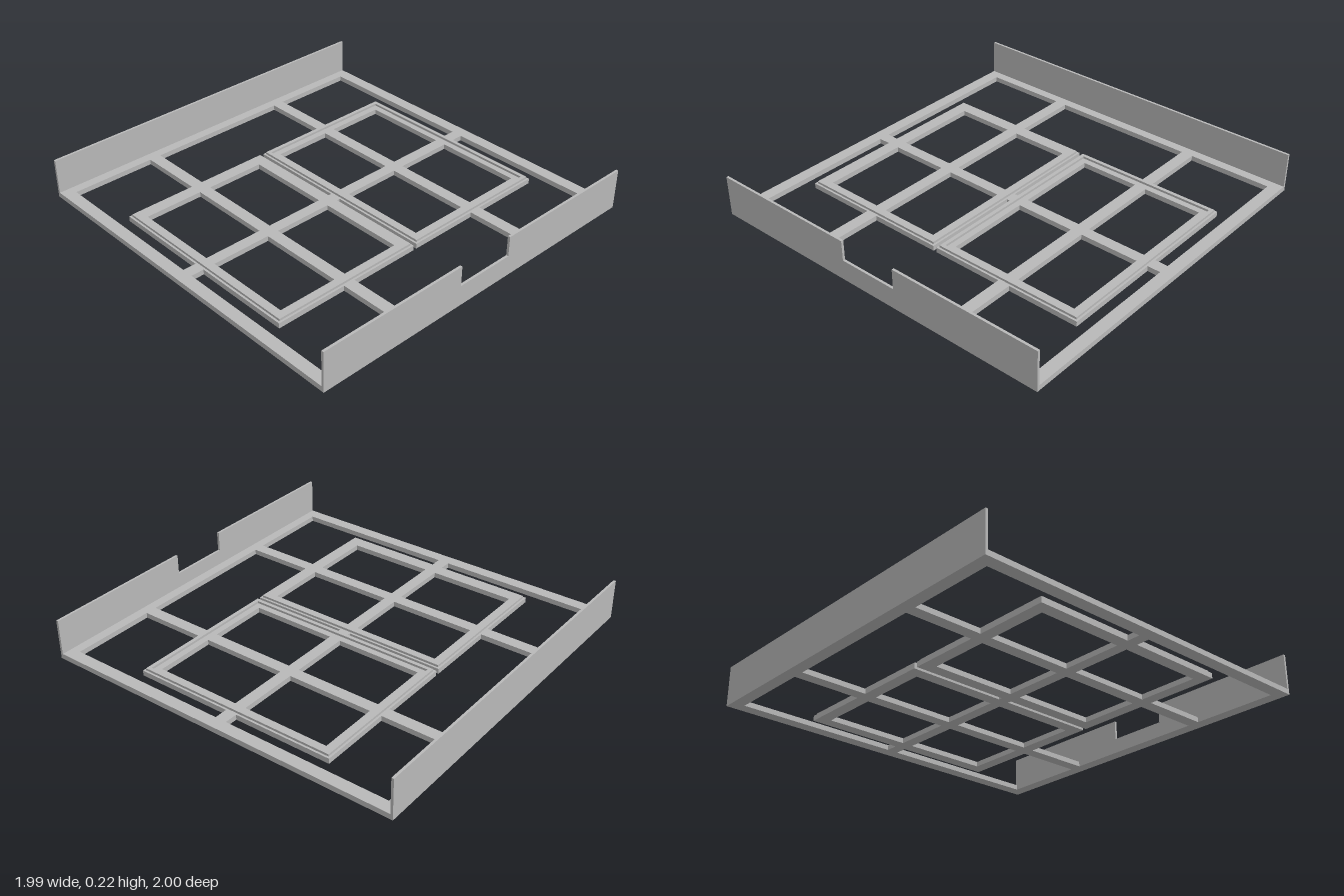
import * as THREE from 'three';

const BASE = 0.028, RIM = 0.04, WALL = 0.218, WALL_T = 0.013, HALF_X = 0.995;

const points = (list) => list.map(([x, y]) => new THREE.Vector2(x, y));
const rect = (x0, z0, x1, z1) => [[x0, z0], [x1, z0], [x1, z1], [x0, z1]];

// Extrudes a plan outline (x, z) with holes from y0 up to y1
function slab(outline, holes, y0, y1) {
  const shape = new THREE.Shape(points(outline));
  holes.forEach((h) => shape.holes.push(new THREE.Path(points(h))));
  const geo = new THREE.ExtrudeGeometry(shape, { depth: y1 - y0, bevelEnabled: false });
  return geo.rotateX(Math.PI / 2).translate(0, y1, 0);
}

export function createModel() {
  const group = new THREE.Group();
  const grey = new THREE.MeshStandardMaterial({ color: 0xb8b8b8 });
  grey.name = 'grey';
  const add = (name, geo) => {
    const mesh = new THREE.Mesh(geo, grey);
    mesh.name = name;
    group.add(mesh);
  };

  // Plan positions: tray edges, tray openings, cross bars, outer frame
  const tx0 = 0.01, tx1 = 0.86, tz = 0.567, lip = 0.065;
  const bx0 = 0.403, bx1 = 0.468, bz = 0.031, fx = 0.93, fz = 0.935;

  // Openings of one half in z, mirrored to the other
  const holes = [];
  for (const s of [1, -1]) {
    const flip = (list) => list.map(([x, z]) => [x, z * s]);
    holes.push(flip([[-bx0, fz], [bx0, fz], [bx0, tz], [tx0, tz], [tx0, bz],
      [-tx0, bz], [-tx0, tz], [-bx0, tz]]));
    for (const m of [1, -1]) {
      const side = (list) => flip(list).map(([x, z]) => [x * m, z]);
      holes.push(side([[bx1, fz], [fx, fz], [fx, bz], [tx1, bz], [tx1, tz], [bx1, tz]]));
      holes.push(side(rect(tx0 + lip, bz, bx0, tz - lip)));
      holes.push(side(rect(bx1, bz, tx1 - lip, tz - lip)));
    }
  }
  add('baseFrame', slab(rect(-HALF_X, -1, HALF_X, 1), holes, 0, BASE));

  // Raised rims around the two trays
  for (const m of [1, -1]) {
    const ring = (d) => rect(m * (tx0 + d), -tz + d, m * (tx1 - d), tz - d);
    add(m > 0 ? 'leftTrayRim' : 'rightTrayRim', slab(ring(0.011), [ring(0.031)], BASE, RIM));
  }

  // Upright walls; the front one is notched
  const wall = (outline, z) => new THREE.ExtrudeGeometry(new THREE.Shape(points(outline)),
    { depth: WALL_T, bevelEnabled: false }).translate(0, 0, z);
  add('backWall', wall(rect(-HALF_X, BASE, HALF_X, WALL), -1));
  const nx = 0.163, ny = 0.11;
  add('frontWall', wall([[-HALF_X, BASE], [HALF_X, BASE], [HALF_X, WALL], [nx, WALL],
    [nx, ny], [-nx, ny], [-nx, WALL], [-HALF_X, WALL]], 1 - WALL_T));

  return group;
}
